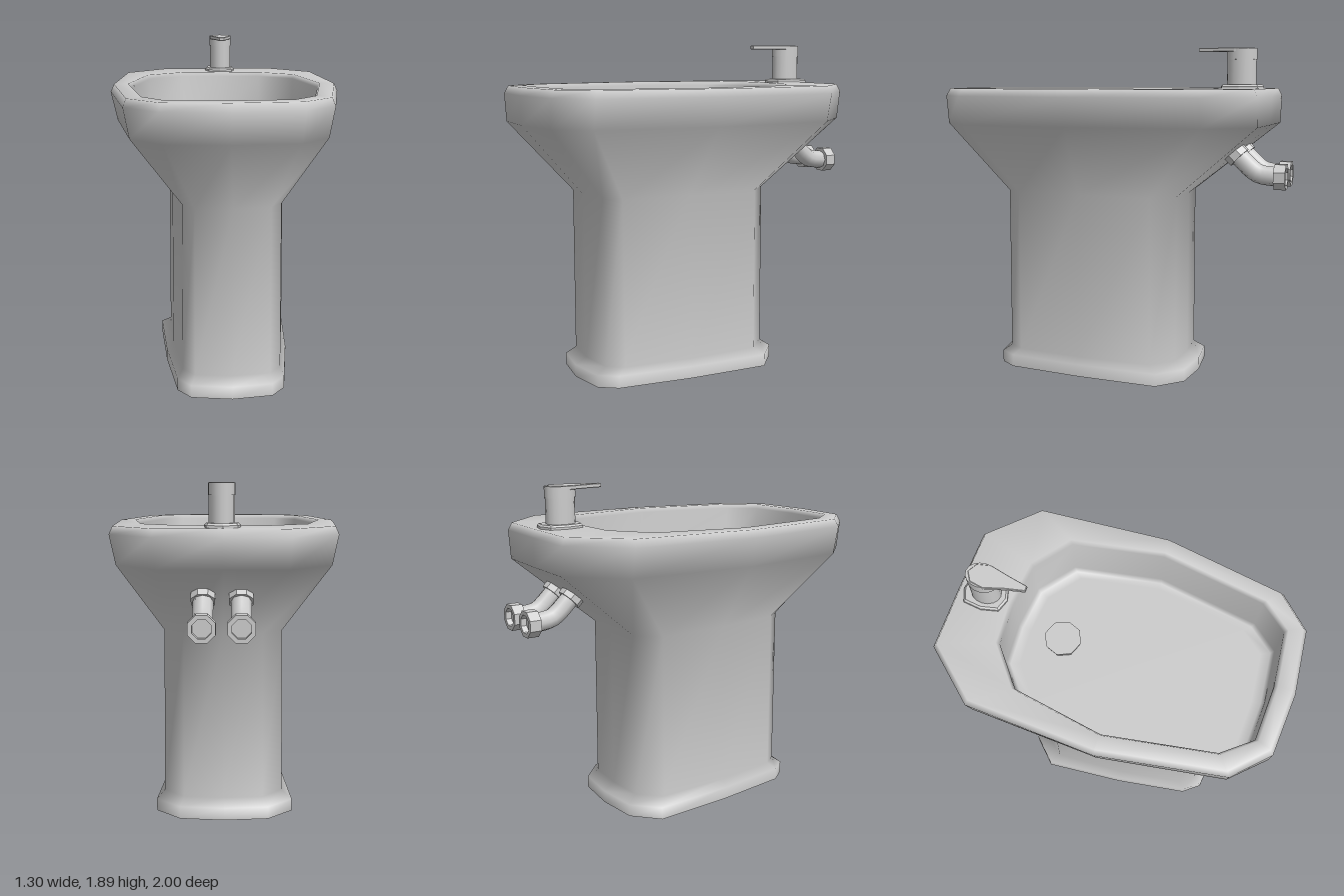
import * as THREE from 'three';

const grey = new THREE.MeshStandardMaterial({ color: 0xcccccc });
const faceted = new THREE.MeshStandardMaterial({ color: 0xcccccc, flatShading: true });
const shell = new THREE.MeshStandardMaterial({ color: 0xcccccc, side: THREE.DoubleSide });

function part(name, geometry, material = grey) {
  const mesh = new THREE.Mesh(geometry, material);
  mesh.name = name;
  return mesh;
}

// Outlines are [x, z] corners, running from back middle over +x to the front and round
const rim = [[0.01, -0.89], [0.37, -0.875], [0.61, -0.62], [0.648, 0.12], [0.52, 0.8], [0.35, 0.968],
  [-0.02, 0.998], [-0.37, 0.968], [-0.55, 0.785], [-0.65, 0.1], [-0.595, -0.62], [-0.34, -0.895]];
const bowl = [[0.01, -0.58], [0.26, -0.55], [0.46, -0.39], [0.54, 0.12], [0.43, 0.715], [0.3, 0.865],
  [-0.02, 0.89], [-0.33, 0.87], [-0.455, 0.71], [-0.545, 0.1], [-0.445, -0.405], [-0.23, -0.57]];
const mirrored = (half, shift) => {
  const other = half.slice(1, -1).reverse().map(([x, z]) => [-x, z]);
  return [...half, ...other].map(([x, z]) => [x + shift, z]);
};
const foot = mirrored([[0, -0.49], [0.25, -0.465], [0.392, -0.33], [0.36, 0.15], [0.3, 0.585], [0.225, 0.685], [0, 0.72]], 0.008);
const column = mirrored([[0, -0.42], [0.22, -0.405], [0.335, -0.28], [0.32, 0.15], [0.27, 0.54], [0.205, 0.63], [0, 0.655]], 0.014);

// Skin through a stack of rings, closed at the last one
function loft(rings) {
  const n = rings[0].outline.length;
  const pos = [], index = [];
  for (const { outline, y, sx = 1, sz = sx, cz = 0 } of rings) {
    for (const [x, z] of outline) pos.push(x * sx, y, cz + (z - cz) * sz);
  }
  for (let r = 0; r < rings.length - 1; r++) {
    for (let i = 0; i < n; i++) {
      const j = (i + 1) % n;
      const a = r * n + i, b = r * n + j, c = a + n, d = b + n;
      index.push(a, c, b, b, c, d);
    }
  }
  const last = (rings.length - 1) * n, centre = rings.length * n;
  pos.push(0, rings[rings.length - 1].y, 0.15);
  for (let i = 0; i < n; i++) index.push(centre, last + (i + 1) % n, last + i);
  const geometry = new THREE.BufferGeometry();
  geometry.setAttribute('position', new THREE.Float32BufferAttribute(pos, 3));
  geometry.setIndex(index);
  geometry.computeVertexNormals();
  return geometry;
}

// Flat bevelled plate cut from an [x, z] outline, lying between y and y + height
function plate(name, outline, y, height, bevel) {
  const shape = new THREE.Shape(outline.map(([x, z]) => new THREE.Vector2(x, -z)));
  const geometry = new THREE.ExtrudeGeometry(shape, {
    depth: height - 2 * bevel, bevelSize: bevel,
    bevelThickness: bevel, bevelOffset: -bevel, bevelSegments: 1,
  });
  geometry.rotateX(-Math.PI / 2).translate(0, y + bevel, 0);
  return part(name, geometry, faceted);
}

// Eight-sided nut with a recessed end, pointing along a direction
function nut(name, radius, length, position, direction) {
  const h = length / 2, hole = radius * 0.68;
  const profile = [[0, -h], [radius, -h], [radius, h], [hole, h], [hole, 0], [0, 0]];
  const geometry = new THREE.LatheGeometry(profile.map(([r, y]) => new THREE.Vector2(r, y)), 8, Math.PI / 8);
  const mesh = part(name, geometry, faceted);
  mesh.position.copy(position);
  mesh.quaternion.setFromUnitVectors(new THREE.Vector3(0, 1, 0), direction.normalize());
  return mesh;
}

function waterPipe(x) {
  const group = new THREE.Group();
  group.name = 'waterPipe';
  const path = new THREE.CatmullRomCurve3([[1.36, -0.655], [1.28, -0.74], [1.215, -0.81], [1.192, -0.85], [1.178, -0.96]]
    .map(([y, z]) => new THREE.Vector3(x, y, z)));
  group.add(
    part('pipe', new THREE.TubeGeometry(path, 12, 0.054, 8)),
    nut('upperNut', 0.068, 0.06, new THREE.Vector3(x, 1.302, -0.715), new THREE.Vector3(0, -1, -1)),
    nut('endNut', 0.076, 0.065, new THREE.Vector3(x, 1.18, -0.967), new THREE.Vector3(0, 0, -1)),
  );
  return group;
}

function tap() {
  const group = new THREE.Group();
  group.name = 'tap';
  // Base plate
  group.add(plate('tapBase', [[-0.065, -0.82], [0.01, -0.845], [0.095, -0.825], [0.108, -0.72], [0.088, -0.62],
    [0.01, -0.6], [-0.06, -0.625], [-0.08, -0.72]], 1.65, 0.036, 0.01));
  // Oval body with a slightly wider turning head
  for (const [name, radius, bottom, top] of [['tapBody', 0.067, 1.67, 1.83], ['tapHead', 0.07, 1.825, 1.887]]) {
    const mesh = part(name, new THREE.CylinderGeometry(radius, radius, top - bottom, 16));
    mesh.scale.z = 1.24;
    mesh.position.set(0.018, (top + bottom) / 2, -0.72);
    group.add(mesh);
  }
  // Tapering lever on top
  group.add(plate('lever', [[0, -0.475], [0.03, -0.475], [0.055, -0.58], [0.085, -0.69], [0.07, -0.765],
    [0.018, -0.795], [-0.035, -0.765], [-0.05, -0.69], [-0.02, -0.58]], 1.868, 0.022, 0.003));
  return group;
}

export function createModel() {
  const model = new THREE.Group();
  model.name = 'bidet';

  // Foot, column, flared basin and hollow bowl in one skin, open underneath
  const cz = 0.15;
  model.add(part('basinAndPedestal', loft([
    { outline: foot, y: 0 },
    { outline: foot, y: 0.07 },
    { outline: column, y: 0.11, sx: 1.02, sz: 1 },
    { outline: column, y: 1.06 },
    { outline: rim, y: 1.46, sx: 0.945, sz: 0.997 },
    { outline: rim, y: 1.62 },
    { outline: rim, y: 1.663, sx: 0.97, sz: 0.977 },
    { outline: bowl, y: 1.665, sx: 1.01, cz },
    { outline: bowl, y: 1.64, sx: 0.985, cz },
    { outline: bowl, y: 1.38, sx: 0.975, cz },
    { outline: bowl, y: 1.35, sx: 0.95, cz },
    { outline: bowl, y: 1.35, sx: 0.88, cz },
  ]), shell));

  // Drain plug
  const drain = part('drain', new THREE.CylinderGeometry(0.105, 0.095, 0.04, 8), faceted);
  drain.position.set(0.005, 1.365, -0.3);
  model.add(drain);

  model.add(tap());
  for (const x of [-0.083, 0.115]) model.add(waterPipe(x));
  return model;
}
